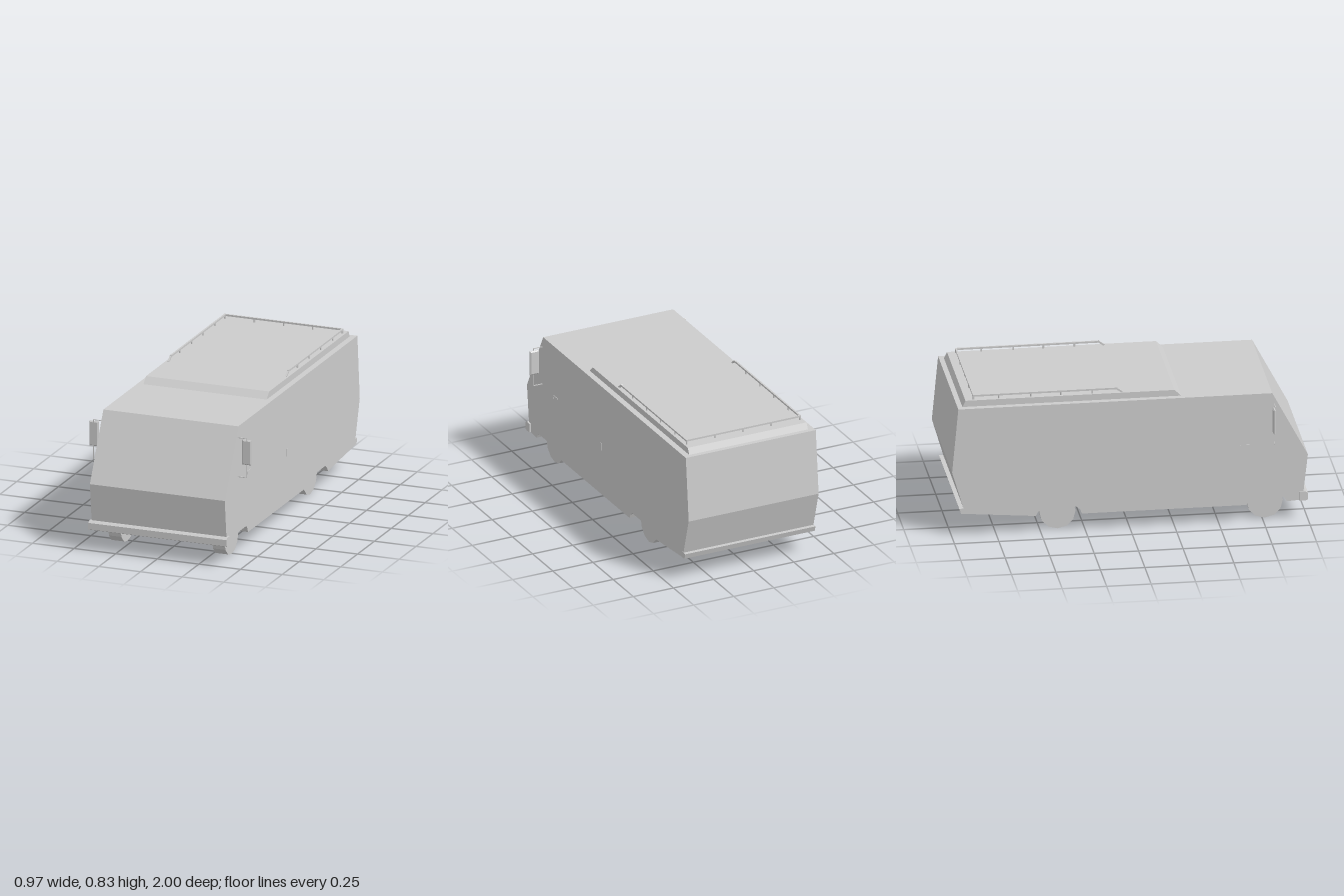
import * as THREE from 'three';

const grey = new THREE.MeshStandardMaterial({ color: 0xcccccc, flatShading: true });

function add(parent, geometry, name, x = 0, y = 0, z = 0) {
  const mesh = new THREE.Mesh(geometry, grey);
  mesh.name = name;
  mesh.position.set(x, y, z);
  parent.add(mesh);
  return mesh;
}

// Side profile of [z, y] points, extruded across x and centred on x = 0
function slab(points, width) {
  const shape = new THREE.Shape(points.map(([z, y]) => new THREE.Vector2(z, y)));
  const g = new THREE.ExtrudeGeometry(shape, { depth: width, bevelEnabled: false });
  g.translate(0, 0, -width / 2);
  g.rotateY(-Math.PI / 2);
  return g;
}

// Square bar between two points
function bar(parent, name, a, b, t = 0.01) {
  const from = new THREE.Vector3(...a), to = new THREE.Vector3(...b);
  const mesh = add(parent, new THREE.BoxGeometry(t, t, from.distanceTo(to) + t), name);
  mesh.position.copy(from).add(to).multiplyScalar(0.5);
  mesh.lookAt(to);
  return mesh;
}

export function createModel() {
  const van = new THREE.Group();
  van.name = 'van';

  // Body: full core between the wheel wells, side panels with arches cut out
  const upper = [[-0.53, 0.105], [-0.935, 0.14], [-0.935, 0.17], [-1, 0.39], [-0.965, 0.767],
    [0.80, 0.767], [1, 0.39], [0.975, 0.17], [0.97, 0.12]];
  const rearArch = [[-0.27, 0.105], [-0.28, 0.13], [-0.30, 0.148], [-0.49, 0.148], [-0.515, 0.13]];
  const frontArch = [[0.88, 0.115], [0.87, 0.135], [0.85, 0.148], [0.68, 0.148], [0.665, 0.13], [0.655, 0.105]];
  add(van, slab([...upper, [0.88, 0.115], [0.655, 0.105]], 0.44), 'bodyCore');
  for (const s of [1, -1]) {
    add(van, slab([...upper, ...frontArch, ...rearArch], 0.185), 'bodySide', s * 0.3125);
  }

  // Bumpers
  add(van, slab([[1, 0.125], [1, 0.162], [0.985, 0.172], [0.95, 0.172], [0.95, 0.12], [0.985, 0.118]], 0.83), 'frontBumper');
  add(van, slab([[-0.92, 0.138], [-0.95, 0.141], [-0.96, 0.172], [-0.92, 0.172]], 0.812), 'rearBumper');

  // Raised roof
  add(van, slab([[0.295, 0.765], [0.255, 0.803], [-0.92, 0.803], [-0.938, 0.765]], 0.74), 'raisedRoof');

  // Roof rails on short posts
  const rack = new THREE.Group();
  rack.name = 'roofRack';
  van.add(rack);
  const railY = 0.825, railX = 0.353, backZ = -0.872;
  for (const s of [1, -1]) {
    bar(rack, 'sideRail', [s * railX, railY, backZ], [s * railX, railY, -0.07]);
    bar(rack, 'railEnd', [s * railX, railY, -0.07], [s * railX, 0.804, -0.04]);
    for (const z of [backZ, -0.73, -0.55, -0.38, -0.205]) {
      add(rack, new THREE.CylinderGeometry(0.005, 0.005, 0.025, 8), 'railPost', s * railX, 0.812, z);
    }
  }
  bar(rack, 'rearRail', [-railX, railY, backZ], [railX, railY, backZ]);
  for (const x of [-0.175, 0, 0.175]) {
    add(rack, new THREE.CylinderGeometry(0.005, 0.005, 0.025, 8), 'railPost', x, 0.812, backZ);
  }

  // Wheels
  for (const s of [1, -1]) {
    for (const z of [0.765, -0.4]) {
      const g = new THREE.CylinderGeometry(0.102, 0.102, 0.075, 12);
      g.rotateZ(Math.PI / 2);
      add(van, g, 'wheel', s * 0.3125, 0.104, z);
    }
  }

  // Mirrors on bent brackets
  for (const s of [1, -1]) {
    const mirror = new THREE.Group();
    mirror.name = 'mirror';
    van.add(mirror);
    const shape = new THREE.Shape();
    shape.moveTo(-0.021, -0.066).lineTo(0.021, -0.066).lineTo(0.021, 0.066).lineTo(-0.021, 0.066);
    const housing = new THREE.ExtrudeGeometry(shape,
      { depth: 0.004, bevelThickness: 0.006, bevelSize: 0.007, bevelSegments: 1 });
    add(mirror, housing, 'mirrorHousing', s * 0.459, 0.622, 0.801);
    const z = 0.81, t = 0.004;
    bar(mirror, 'upperArm', [s * 0.40, 0.704, z], [s * 0.46, 0.704, z], t);
    bar(mirror, 'upperStem', [s * 0.46, 0.704, z], [s * 0.46, 0.68, z], t);
    bar(mirror, 'lowerStem', [s * 0.46, 0.56, z], [s * 0.46, 0.476, z], t);
    bar(mirror, 'lowerArm', [s * 0.40, 0.476, z], [s * 0.46, 0.476, z], t);

    // Front door handle
    add(van, new THREE.BoxGeometry(0.006, 0.008, 0.055), 'doorHandle', s * 0.405, 0.462, 0.645);
    add(van, new THREE.BoxGeometry(0.006, 0.02, 0.008), 'doorHandleEnd', s * 0.405, 0.456, 0.668);
  }

  // Side door handle, left side only
  add(van, new THREE.BoxGeometry(0.006, 0.044, 0.01), 'sideDoorHandle', 0.405, 0.397, 0.08);

  return van;
}
